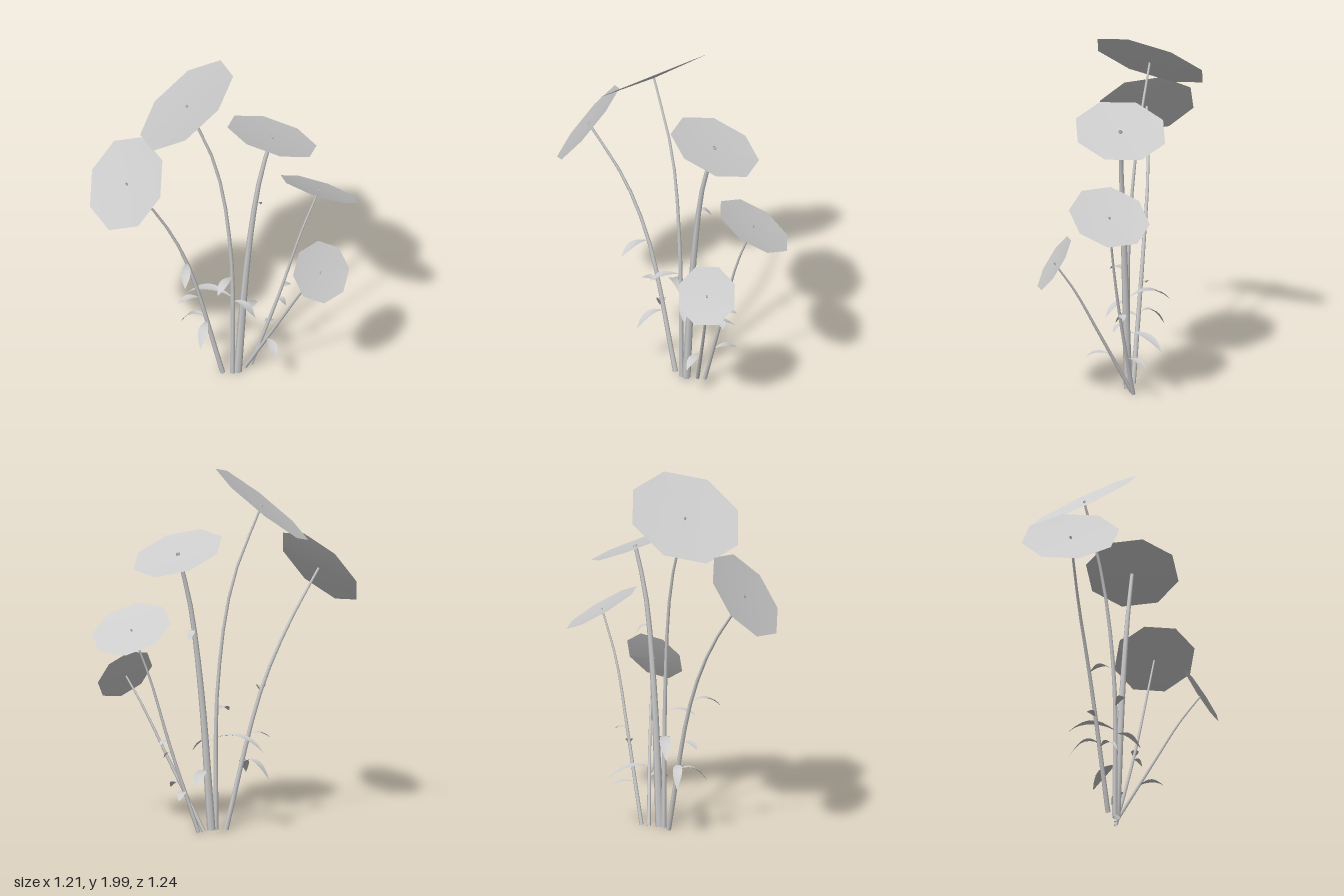
import * as THREE from 'three';

const vec = (x, y, z) => new THREE.Vector3(x, y, z);

// Octagonal cap lying on a plane with slopes (sx, sz); heading turns its corners
function capGeometry(center, radius, sx, sz, heading) {
  const n = vec(-sx, 1, -sz).normalize();
  const c = Math.cos(heading), s = Math.sin(heading);
  const u = vec(c, sx * c + sz * s, s).normalize();
  const v = n.clone().cross(u);
  const geo = new THREE.CircleGeometry(radius, 8);
  geo.attributes.position.setZ(0, -0.012); // dimpled centre
  geo.applyMatrix4(new THREE.Matrix4().makeBasis(u, v, n).setPosition(center));
  geo.computeVertexNormals();
  return geo;
}

// Tube that tapers from the ground to the cap
function stemGeometry(path, radius) {
  const rows = 10, sides = 6;
  const geo = new THREE.TubeGeometry(path, rows, radius, sides);
  const pos = geo.attributes.position, p = vec(0, 0, 0);
  for (let i = 0; i <= rows; i++) {
    const c = path.getPointAt(i / rows);
    for (let j = 0; j <= sides; j++) {
      const k = i * (sides + 1) + j;
      p.fromBufferAttribute(pos, k).sub(c).multiplyScalar(1 - 0.55 * i / rows).add(c);
      pos.setXYZ(k, p.x, p.y, p.z);
    }
  }
  return geo;
}

// Arched pointed leaf, folded lightly along its midrib
function leafGeometry(from, to) {
  const len = from.distanceTo(to);
  const mid = from.clone().lerp(to, 0.55);
  mid.y = Math.max(from.y, to.y) + len * 0.22;
  const curve = new THREE.QuadraticBezierCurve3(from, mid, to);
  const side = vec(to.z - from.z, 0, from.x - to.x).normalize();
  const geo = new THREE.PlaneGeometry(2, 1, 2, 7);
  const pos = geo.attributes.position;
  for (let i = 0; i < pos.count; i++) {
    const t = pos.getY(i) + 0.5, s = pos.getX(i);
    const halfWidth = 0.002 + (0.015 + 0.05 * len) * Math.sin(Math.PI * t ** 1.3);
    const p = curve.getPoint(t).addScaledVector(side, s * halfWidth);
    pos.setXYZ(i, p.x, p.y + Math.abs(s) * halfWidth * 0.25, p.z);
  }
  geo.computeVertexNormals();
  return geo;
}

export function createModel() {
  const model = new THREE.Group();
  model.name = 'plantCluster';
  const grey = new THREE.MeshStandardMaterial({ color: 0xcccccc, side: THREE.DoubleSide });
  grey.name = 'paleGrey';

  // Each leaf: height on the stem, then reach along x, y and z
  function addPlant(name, { center, cap, base, bends, radius, leaves }) {
    const plant = new THREE.Group();
    plant.name = name;
    const add = (part, geo) => {
      const mesh = new THREE.Mesh(geo, grey);
      mesh.name = part;
      plant.add(mesh);
    };
    const top = vec(...center);
    const path = new THREE.CatmullRomCurve3([vec(base[0], 0.015, base[1]), ...bends.map((b) => vec(...b)), top]);
    add('cap', capGeometry(top, ...cap));
    add('stem', stemGeometry(path, radius));
    const samples = path.getPoints(100);
    for (const [height, dx, dy, dz] of leaves) {
      const from = samples.find((p) => p.y >= height);
      add('leaf', leafGeometry(from, from.clone().add(vec(dx, dy, dz))));
    }
    model.add(plant);
  }

  addPlant('tallBackPlant', {
    center: [-0.095, 1.8, -0.2], cap: [0.32, 0.437, 0.661, 0.98],
    base: [0.045, 0.005], bends: [[0.037, 0.8, 0], [0, 1.37, -0.07]], radius: 0.015,
    leaves: [[0.5, -0.04, -0.06, -0.275], [0.49, 0.01, -0.06, 0.14], [0.64, -0.165, -0.02, 0.02]],
  });
  addPlant('leftPlant', {
    center: [-0.438, 1.417, -0.358], cap: [0.268, 1.245, 0.417, -0.03],
    base: [0.015, -0.04], bends: [[-0.12, 0.76, -0.175], [-0.245, 1.1, -0.265]], radius: 0.014,
    leaves: [[0.76, -0.15, -0.04, 0.09], [0.51, -0.09, -0.02, -0.08], [0.38, -0.01, -0.09, -0.16], [0.36, -0.15, -0.07, 0.06]],
  });
  addPlant('upperRightPlant', {
    center: [0.217, 1.55, 0.143], cap: [0.256, -0.383, -0.114, 0],
    base: [0.07, 0.02], bends: [[0.105, 0.76, 0.06], [0.155, 1.28, 0.105]], radius: 0.023,
    leaves: [[0.33, 0.255, -0.04, -0.08], [1.11, 0.07, -0.04, -0.01]],
  });
  addPlant('lowerRightPlant', {
    center: [0.418, 1.148, 0.315], cap: [0.224, -0.586, -0.022, -0.38],
    base: [0.17, 0.04], bends: [[0.26, 0.5, 0.168], [0.33, 0.87, 0.25]], radius: 0.011,
    leaves: [[0.23, 0.13, -0.02, -0.04], [0.51, 0.07, -0.01, 0.01], [0.45, 0.005, -0.03, 0.05]],
  });
  addPlant('smallFrontPlant', {
    center: [0.153, 0.835, 0.512], cap: [0.17, 0.633, -1.447, 0.524],
    base: [0.13, 0.03], bends: [[0.15, 0.42, 0.255], [0.156, 0.66, 0.39]], radius: 0.011,
    leaves: [[0.25, -0.085, -0.03, 0.12]],
  });
  return model;
}
